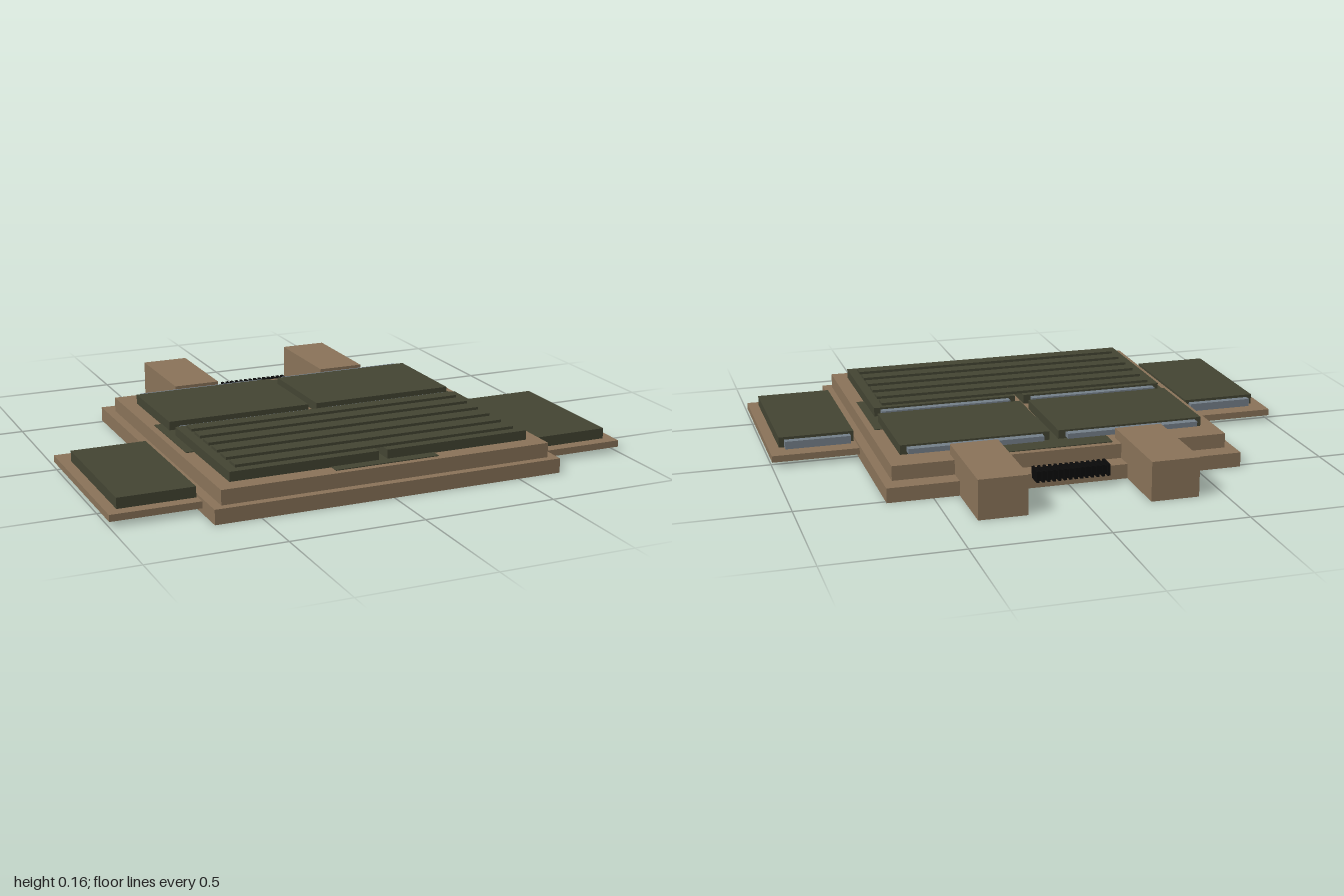
import * as THREE from 'three';

const material = (name, color) => {
  const m = new THREE.MeshStandardMaterial({ color });
  m.name = name;
  return m;
};

export function createModel() {
  const model = new THREE.Group();
  model.name = 'paddedPlatform';
  const tan = material('tan', 0x8b745a);
  const olive = material('olive', 0x444533);
  const steel = material('steelGrey', 0x75808a);
  const black = material('black', 0x0a0a0a);

  // Box given by its limits on each axis
  const box = (name, mat, [x0, x1], [y0, y1], [z0, z1]) => {
    const mesh = new THREE.Mesh(new THREE.BoxGeometry(x1 - x0, y1 - y0, z1 - z0), mat);
    mesh.position.set((x0 + x1) / 2, (y0 + y1) / 2, (z0 + z1) / 2);
    mesh.name = name;
    model.add(mesh);
  };
  // The same box on both sides of x = 0
  const pair = (name, mat, [x0, x1], y, z) => {
    box(name + 'Left', mat, [x0, x1], y, z);
    box(name + 'Right', mat, [-x1, -x0], y, z);
  };

  // Stepped base
  box('base', tan, [-0.67, 0.67], [0, 0.055], [-0.515, 0.765]);
  box('upperStep', tan, [-0.635, 0.635], [0.055, 0.11], [-0.445, 0.735]);

  // Rear posts
  pair('rearPost', tan, [0.225, 0.405], [0, 0.148], [-0.765, -0.375]);

  // Side wings with their pads and hinge bars
  pair('wing', tan, [0.67, 1], [0.02, 0.045], [-0.035, 0.645]);
  pair('wingPad', olive, [0.675, 0.96], [0.045, 0.085], [0.055, 0.6]);
  pair('wingBar', steel, [0.69, 0.94], [0.045, 0.075], [0.028, 0.055]);

  // Thin plates lying on the step
  box('rearPlate', olive, [-0.2, 0.2], [0.11, 0.113], [-0.42, -0.06]);
  box('frontPlate', olive, [-0.2, 0.2], [0.11, 0.113], [0.35, 0.71]);
  pair('sidePlate', olive, [0.22, 0.61], [0.11, 0.113], [-0.035, 0.32]);

  // Top pads and bars
  pair('rearPad', olive, [0.017, 0.58], [0.11, 0.146], [-0.335, 0.053]);
  pair('frontPad', olive, [0.017, 0.58], [0.11, 0.146], [0.12, 0.67]);
  pair('rearBar', steel, [0.045, 0.555], [0.12, 0.139], [-0.365, -0.335]);
  pair('frontBar', steel, [0.045, 0.555], [0.12, 0.139], [0.092, 0.12]);

  // Ribs across the front pads
  for (let i = 0; i < 6; i++) {
    const z = 0.144 + i * 0.0873;
    box('rib' + (i + 1), olive, [-0.545, 0.545], [0.146, 0.156], [z, z + 0.054]);
  }

  // Finned black block at the back
  box('rearGrilleCore', black, [-0.135, 0.135], [0.045, 0.078], [-0.568, -0.512]);
  for (let i = 0; i < 14; i++) {
    const x = -0.138 + i * 0.0205;
    box('grilleFin' + (i + 1), black, [x, x + 0.01], [0.04, 0.083], [-0.575, -0.51]);
  }

  return model;
}
